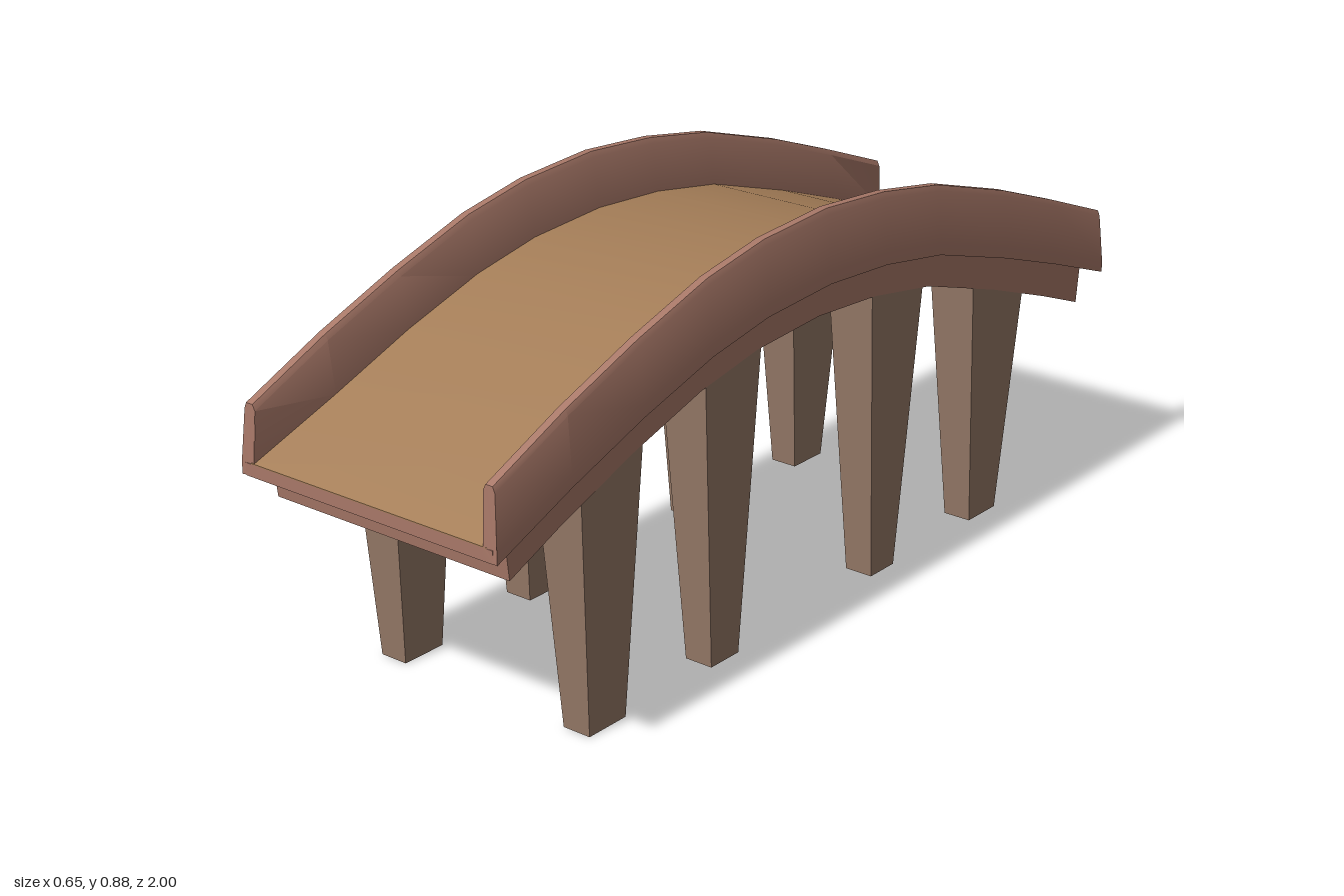
import * as THREE from 'three';
import { toCreasedNormals } from 'three/addons/utils/BufferGeometryUtils.js';

// Arch stations from front to back: z, underside of deck, top of rail
const ARCH = [
  [1, 0.477, 0.622], [0.8, 0.558, 0.706], [0.6, 0.629, 0.78], [0.4, 0.688, 0.842],
  [0.23, 0.719, 0.873], [0.03, 0.731, 0.885], [-0.16, 0.72, 0.871], [-0.35, 0.69, 0.839],
  [-0.6, 0.616, 0.765], [-0.8, 0.549, 0.694], [-1, 0.477, 0.622],
];

// Height of the deck underside at any z
function archY(z) {
  for (let i = 1; i < ARCH.length; i++) {
    const [z0, y0] = ARCH[i - 1], [z1, y1] = ARCH[i];
    if (z >= z1) return y0 + (y1 - y0) * (z - z0) / (z1 - z0);
  }
  return ARCH[ARCH.length - 1][1];
}
const beamBottom = (z) => archY(z) - 0.073 - 0.012 * z * z;

// Skin closed, counter-clockwise cross-sections that run from +z to -z
function loft(sections, creaseAngle = 0.35) {
  const n = sections[0].length, last = (sections.length - 1) * n, index = [];
  for (let s = 0; s < last; s += n) {
    for (let i = 0; i < n; i++) {
      const a = s + i, b = s + (i + 1) % n;
      index.push(a, a + n, b, b, a + n, b + n);
    }
  }
  for (let i = 1; i < n - 1; i++) {
    index.push(0, i, i + 1, last, last + i + 1, last + i);
  }
  const g = new THREE.BufferGeometry();
  g.setAttribute('position', new THREE.Float32BufferAttribute(sections.flat(2), 3));
  g.setIndex(index);
  return toCreasedNormals(g, creaseAngle);
}

// Box section between two heights
const slab = (w, z, y0, y1, zTop = z) => [[-w, y0, z], [w, y0, z], [w, y1, zTop], [-w, y1, zTop]];

export function createModel() {
  const group = new THREE.Group();
  const redWood = new THREE.MeshStandardMaterial({ color: 0xa87868 });
  const tanWood = new THREE.MeshStandardMaterial({ color: 0xa57e58 });
  const legWood = new THREE.MeshStandardMaterial({ color: 0x957967 });
  const add = (name, geometry, material) => {
    const mesh = new THREE.Mesh(geometry, material);
    mesh.name = name;
    group.add(mesh);
  };

  // Arched deck with a walking surface laid on top
  const deckTop = (z, y) => y + 0.036 - 0.008 * z * z;
  add('deck', loft(ARCH.map(([z, y]) => slab(0.315, z, y, deckTop(z, y) - 0.002))), redWood);
  add('walkway', loft(ARCH.map(([z, y]) =>
    slab(0.3, z, deckTop(z, y) - 0.003, deckTop(z, y)))), tanWood);

  // Narrower beam below the deck, ending short of it
  const beamStations = ARCH.map(([z]) => z * (Math.abs(z) === 1 ? 0.94 : 1));
  add('underBeam', loft(beamStations.map((z) =>
    slab(0.297, z, beamBottom(z), archY(z) + 0.008, Math.abs(z) > 0.9 ? z * 1.012 : z))), redWood);

  // Side rails: wide foot, bevelled narrow top, inner foot thinner at the ends
  for (const side of [1, -1]) {
    const sections = ARCH.map(([z, y, top]) => {
      const end = Math.abs(z) === 1;
      const inner = end ? 0.292 : 0.274;
      const zTop = end ? z * 0.992 : z;
      const profile = [
        [0.325, y, z], [0.325, y + 0.025, z], [0.317, top - 0.012, zTop], [0.312, top, zTop],
        [0.295, top, zTop], [0.289, top - 0.012, zTop], [inner, y + 0.03, z], [inner, y + 0.004, z],
      ].map(([px, py, pz]) => [px * side, py, pz]);
      return side > 0 ? profile : profile.reverse();
    });
    add(side > 0 ? 'leftRail' : 'rightRail', loft(sections), redWood);
  }

  // Tapered legs: [top front z, top back z, foot front z, foot back z]
  const legs = [
    [0.745, 0.57, 0.71, 0.605], [0.386, 0.215, 0.343, 0.257],
    [-0.15, -0.33, -0.197, -0.278], [-0.52, -0.715, -0.568, -0.668],
  ];
  for (const side of [1, -1]) {
    legs.forEach(([tf, tb, ff, fb], i) => {
      const section = (zTop, zFoot) => {
        const yTop = beamBottom(zTop) + 0.01;
        const p = [[0.21, 0, zFoot], [0.275, 0, zFoot], [0.296, yTop, zTop], [0.186, yTop, zTop]]
          .map(([x, y, z]) => [x * side, y, z]);
        return side > 0 ? p : p.reverse();
      };
      add(`${side > 0 ? 'left' : 'right'}Leg${i + 1}`, loft([section(tf, ff), section(tb, fb)]), legWood);
    });
  }
  return group;
}
